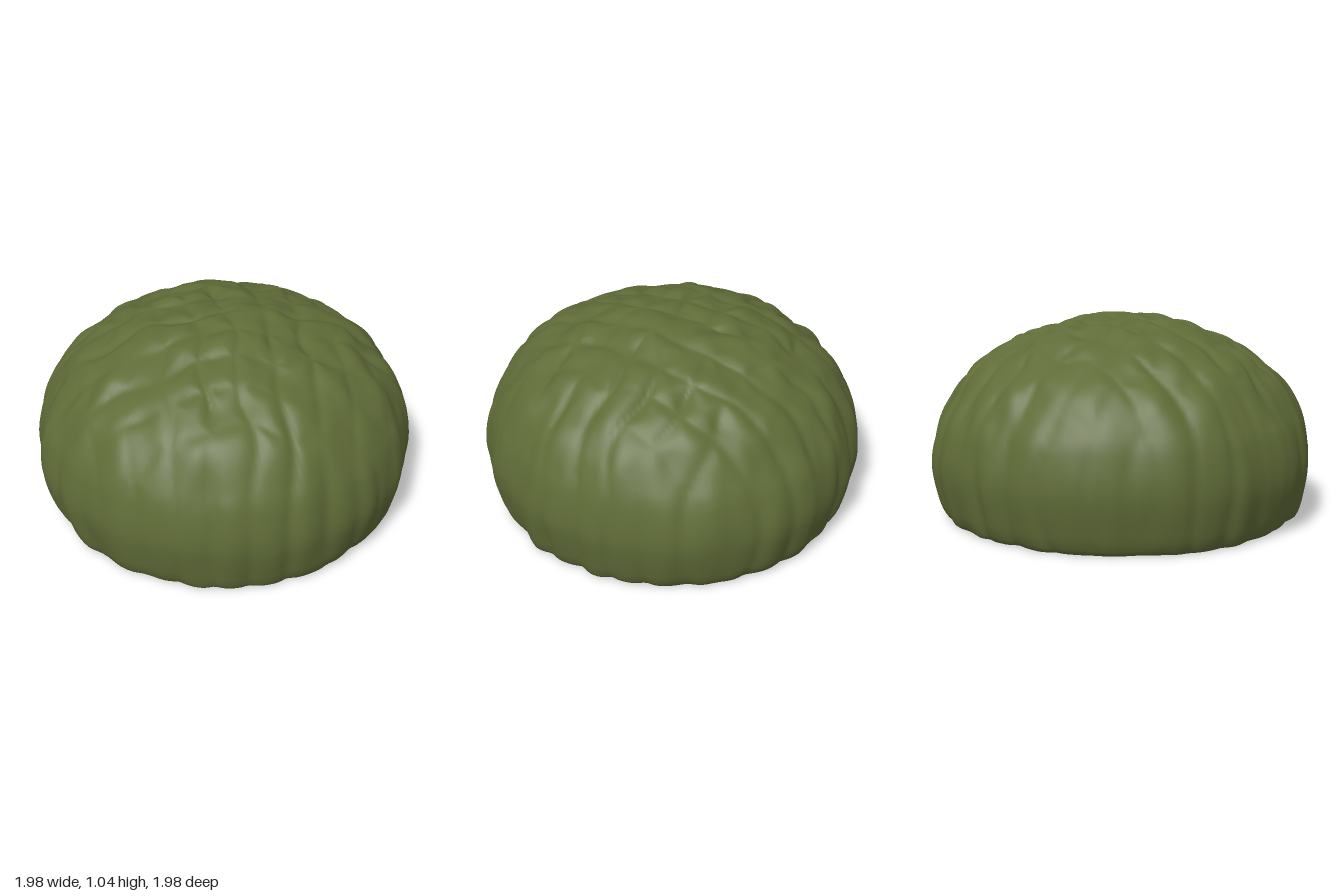
import * as THREE from 'three';
import { mergeVertices } from 'three/addons/utils/BufferGeometryUtils.js';

// Seeded lattice noise in 0..1, smoothly interpolated
function hash(i, j, seed) {
  const s = Math.sin(i * 127.1 + j * 311.7 + seed * 74.7) * 43758.5453;
  return s - Math.floor(s);
}
function noise(x, y, seed) {
  const i = Math.floor(x), j = Math.floor(y);
  const u = THREE.MathUtils.smoothstep(x - i, 0, 1);
  const v = THREE.MathUtils.smoothstep(y - j, 0, 1);
  const a = THREE.MathUtils.lerp(hash(i, j, seed), hash(i + 1, j, seed), u);
  const b = THREE.MathUtils.lerp(hash(i, j + 1, seed), hash(i + 1, j + 1, seed), u);
  return THREE.MathUtils.lerp(a, b, v);
}

// Depth of the leafy dents: a broken grid of creases along x and z over uneven lumps
function dent(x, y, z) {
  const length = Math.hypot(x, y - 0.2, z) || 1;
  const crease = (a, b, facing, seed) => {
    const wave = Math.abs(Math.sin(Math.PI * (a / 0.19 + 0.5 * (noise(b * 5, a * 3 + y, seed) - 0.5))));
    const strength = 0.1 + 0.9 * noise(a * 6, b * 7 + y * 2, seed + 1);
    return Math.pow(1 - wave, 1.3) * strength * (1 - facing * facing);
  };
  const grid = Math.max(crease(x, z, x / length, 3), crease(z, x, z / length, 8));
  return 0.028 * grid + 0.034 * noise(x * 8, z * 8 + y, 13);
}

// Push a point inward by its dent, keeping the ground edge level
function sculpt(geometry) {
  const p = geometry.attributes.position;
  for (let i = 0; i < p.count; i++) {
    const x = p.getX(i), y = p.getY(i), z = p.getZ(i);
    const d = dent(x, y, z);
    const out = new THREE.Vector3(x, Math.max(0, y - 0.2), z).normalize();
    p.setXYZ(i, x - out.x * d, y - out.y * d, z - out.z * d);
  }
}

export function createModel() {
  const group = new THREE.Group();
  group.name = 'bush';
  const leafGreen = new THREE.MeshStandardMaterial({ color: 0x606c38 });
  leafGreen.name = 'leafGreen';

  // Rounded dome, narrowing slightly toward the ground
  const profile = new THREE.SplineCurve([
    [0.93, 0], [0.95, 0.02], [0.98, 0.1], [1.012, 0.28], [0.995, 0.44],
    [0.945, 0.58], [0.825, 0.752], [0.62, 0.9], [0.4, 0.992], [0.2, 1.037], [0, 1.05],
  ].map(([r, y]) => new THREE.Vector2(r, y)));
  const points = profile.getSpacedPoints(100);
  points[100].x = 0;
  let dome = new THREE.LatheGeometry(points, 256);
  dome.deleteAttribute('uv');
  dome.deleteAttribute('normal');
  dome = mergeVertices(dome, 1e-5);
  sculpt(dome);
  dome.computeVertexNormals();
  const foliage = new THREE.Mesh(dome, leafGreen);
  foliage.name = 'foliage';

  // Flat underside sharing the dented rim
  const disc = new THREE.CircleGeometry(0.93, 256);
  disc.rotateX(Math.PI / 2);
  sculpt(disc);
  const underside = new THREE.Mesh(disc, leafGreen);
  underside.name = 'underside';

  group.add(foliage, underside);
  return group;
}
